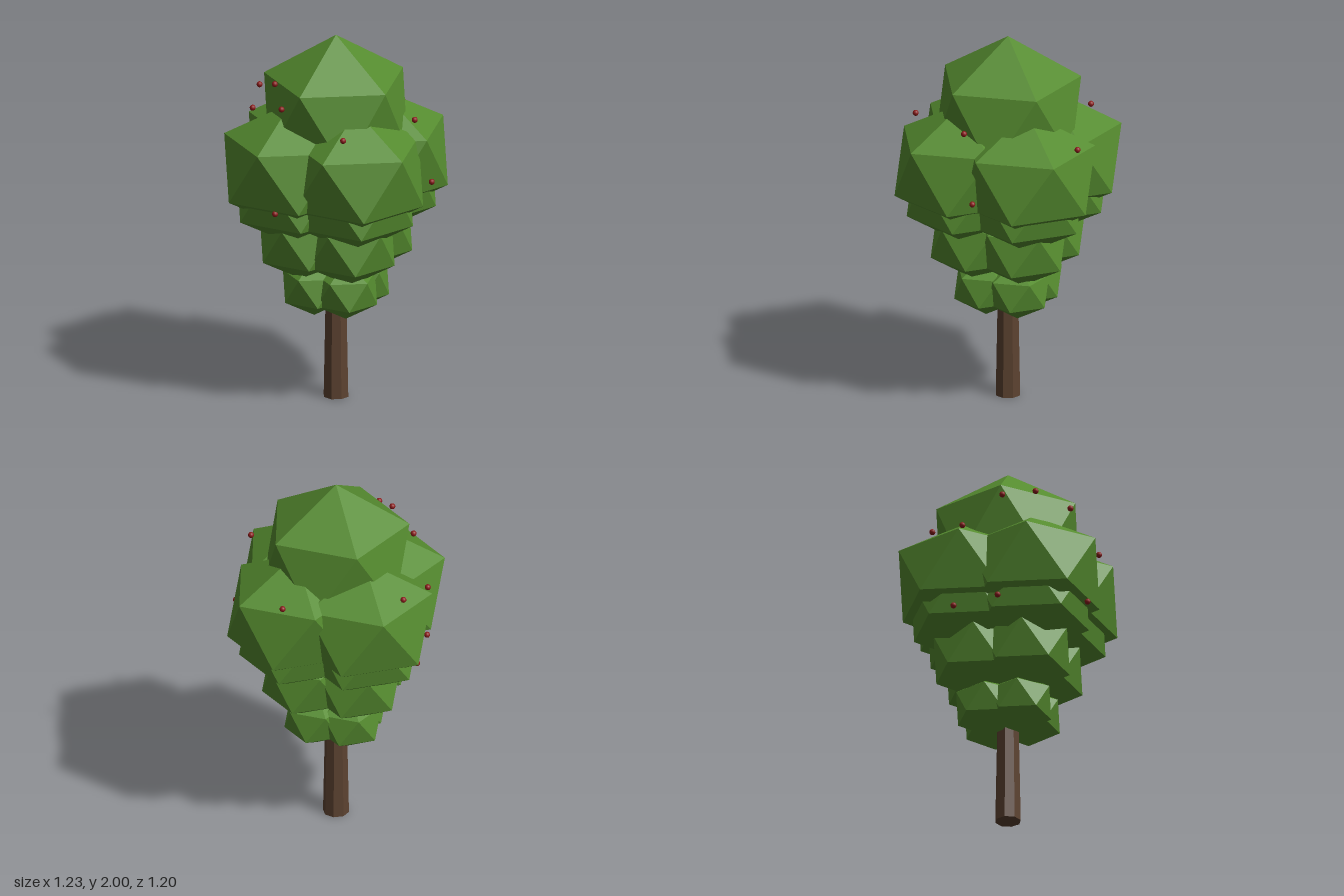
import * as THREE from 'three';

const leafMat = new THREE.MeshStandardMaterial({ color: 0x558b2f, flatShading: true });
leafMat.name = 'leaf green';
const barkMat = new THREE.MeshStandardMaterial({ color: 0x5c4230, flatShading: true });
barkMat.name = 'bark brown';
const berryMat = new THREE.MeshStandardMaterial({ color: 0x8b1a1a });
berryMat.name = 'berry red';

// Unit icosahedron standing on a corner, upper ring starting at +x
function clumpGeometry() {
  const ring = (y, turn) => Array.from({ length: 5 }, (_, i) => {
    const a = (i * 2 + turn) * Math.PI / 5;
    return [0.8944 * Math.cos(a), y, 0.8944 * Math.sin(a)];
  });
  const top = [0, 1, 0], bottom = [0, -1, 0];
  const up = ring(0.4472, 0), low = ring(-0.4472, 1);
  const pos = [];
  for (let i = 0; i < 5; i++) {
    const j = (i + 1) % 5;
    pos.push(...top, ...up[j], ...up[i]);
    pos.push(...up[i], ...up[j], ...low[i]);
    pos.push(...low[i], ...up[j], ...low[j]);
    pos.push(...low[i], ...low[j], ...bottom);
  }
  const g = new THREE.BufferGeometry();
  g.setAttribute('position', new THREE.Float32BufferAttribute(pos, 3));
  g.computeVertexNormals();
  return g;
}

export function createModel() {
  const model = new THREE.Group();
  model.name = 'berryTree';
  const add = (name, geo, mat, x, y, z, parent = model) => {
    const m = new THREE.Mesh(geo, mat);
    m.name = name;
    m.position.set(x, y, z);
    parent.add(m);
    return m;
  };

  // Trunk, running up inside the crown
  const trunk = add('trunk', new THREE.CylinderGeometry(0.045, 0.069, 1.2, 8), barkMat, 0, 0.6, 0);
  trunk.scale.y = 1;

  // Crown: one top clump over four tiers of four clumps
  const clump = clumpGeometry();
  const crown = new THREE.Group();
  crown.name = 'crown';
  model.add(crown);
  add('topClump', clump, leafMat, 0, 1.575, 0, crown).scale.set(0.43, 0.425, 0.43);

  // [distance from axis, height, radius, half height]
  const tiers = [
    [0.258, 1.311, 0.4, 0.348],
    [0.24, 1.173, 0.347, 0.303],
    [0.184, 0.898, 0.264, 0.231],
    [0.125, 0.628, 0.187, 0.164],
  ];
  tiers.forEach(([d, y, r, h], t) => {
    for (const [sx, sz] of [[1, 0], [-1, 0], [0, 1], [0, -1]]) {
      add('leafClumpTier' + (t + 1), clump, leafMat, sx * d, y, sz * d, crown).scale.set(r, h, r);
    }
  });

  // Berries scattered over the crown
  const berries = new THREE.Group();
  berries.name = 'berries';
  model.add(berries);
  const berryGeo = new THREE.SphereGeometry(0.016, 10, 8);
  [
    [-0.338, 1.765, -0.03], [-0.383, 1.69, 0.155], [-0.335, 1.7, -0.23],
    [-0.165, 1.58, 0.455], [0.285, 1.605, 0.37], [0.385, 1.245, 0.365],
    [0.475, 1.5, -0.195], [-0.08, 1.52, -0.505], [-0.28, 1.495, -0.44],
    [0.29, 1.29, -0.34], [-0.205, 1.06, -0.45], [-0.382, 1.09, -0.286],
    [-0.45, 1.14, 0.22],
  ].forEach(([x, y, z]) => add('berry', berryGeo, berryMat, x, y, z, berries));

  return model;
}
